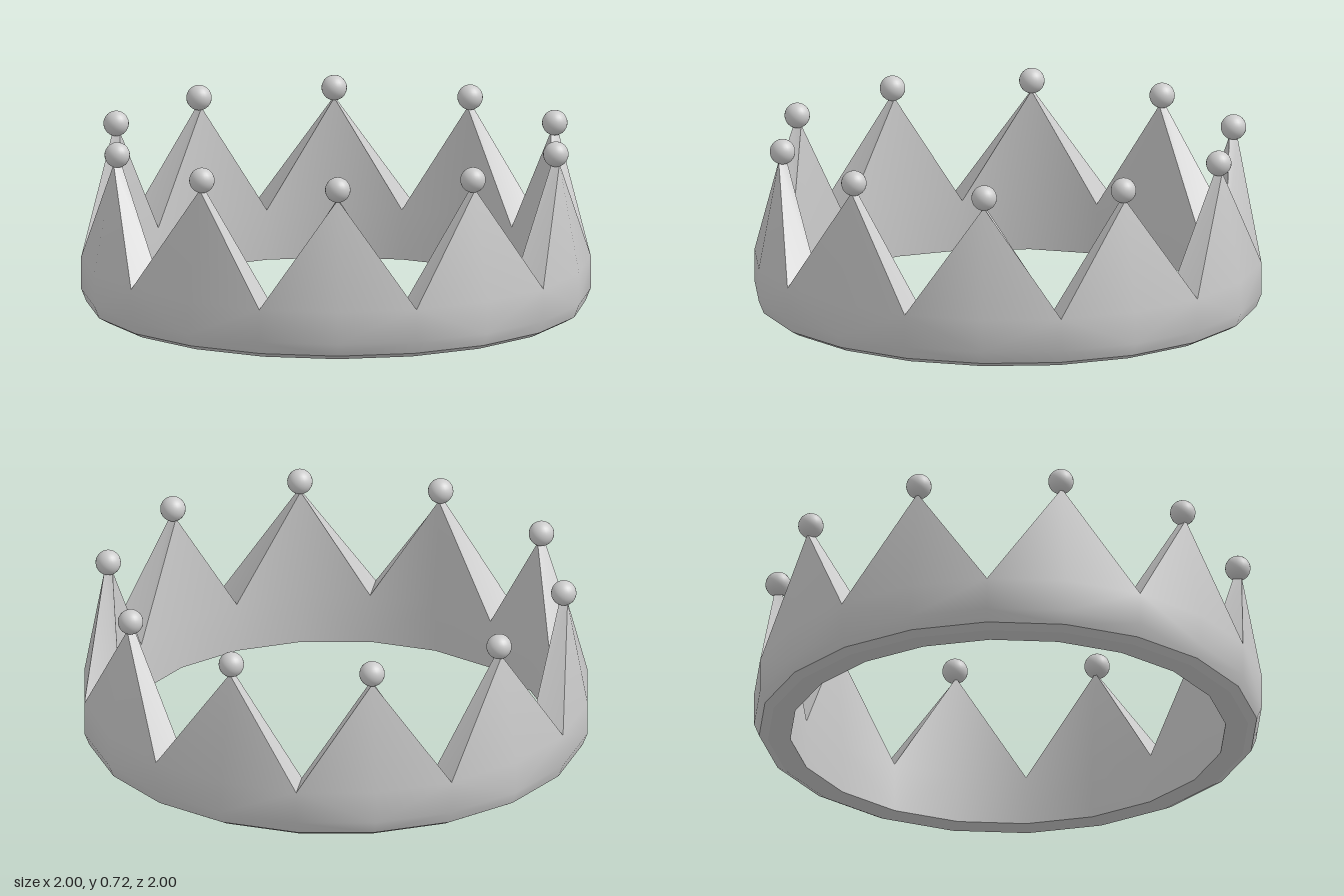
import * as THREE from 'three';
import { toCreasedNormals } from 'three/addons/utils/BufferGeometryUtils.js';

const POINTS = 10;
const SIDES = POINTS * 2;
const VALLEY_Y = 0.2;
const TIP_Y = 0.635;

// Cross-section as [radius, y]: underside, rounded lower edge, outer wall, top, inner wall
function section(isPeak) {
  const top = isPeak ? [[0.92, TIP_Y], [0.888, TIP_Y]] : [[1, VALLEY_Y], [0.857, VALLEY_Y]];
  return [[0.857, 0], [0.945, 0], [0.98, 0.02], [1, 0.07], [1, VALLEY_Y], ...top, [0.857, VALLEY_Y]];
}

// Place a radius and height around the ring, starting from the front
function around(r, y, i) {
  const a = (i / SIDES) * Math.PI * 2;
  return new THREE.Vector3(Math.sin(a) * r, y, Math.cos(a) * r);
}

// Band whose columns alternate between peaks and valleys
function bandGeometry() {
  const positions = [];
  const triangle = (a, b, c) => {
    const area = b.clone().sub(a).cross(c.clone().sub(a)).length();
    if (area > 1e-7) for (const p of [a, b, c]) positions.push(p.x, p.y, p.z);
  };
  const columns = [];
  for (let i = 0; i < SIDES; i++) {
    columns.push(section(i % 2 === 0).map(([r, y]) => around(r, y, i)));
  }
  for (let i = 0; i < SIDES; i++) {
    const left = columns[i];
    const right = columns[(i + 1) % SIDES];
    for (let j = 0; j < left.length; j++) {
      const k = (j + 1) % left.length;
      // Mirror the diagonal on either side of each peak
      if (i % 2 === 0) {
        triangle(left[j], right[j], right[k]);
        triangle(left[j], right[k], left[k]);
      } else {
        triangle(left[j], right[j], left[k]);
        triangle(right[j], right[k], left[k]);
      }
    }
  }
  const geometry = new THREE.BufferGeometry();
  geometry.setAttribute('position', new THREE.Float32BufferAttribute(positions, 3));
  return toCreasedNormals(geometry, Math.PI / 6);
}

export function createModel() {
  const crown = new THREE.Group();
  crown.name = 'crown';
  const material = new THREE.MeshStandardMaterial({ color: 0xcccccc });

  const band = new THREE.Mesh(bandGeometry(), material);
  band.name = 'pointedBand';
  crown.add(band);

  // A ball on every point
  const ballGeometry = new THREE.SphereGeometry(0.05, 24, 16);
  for (let i = 0; i < POINTS; i++) {
    const ball = new THREE.Mesh(ballGeometry, material);
    ball.name = `tipBall${i + 1}`;
    ball.position.copy(around(0.905, 0.672, i * 2));
    crown.add(ball);
  }
  return crown;
}
